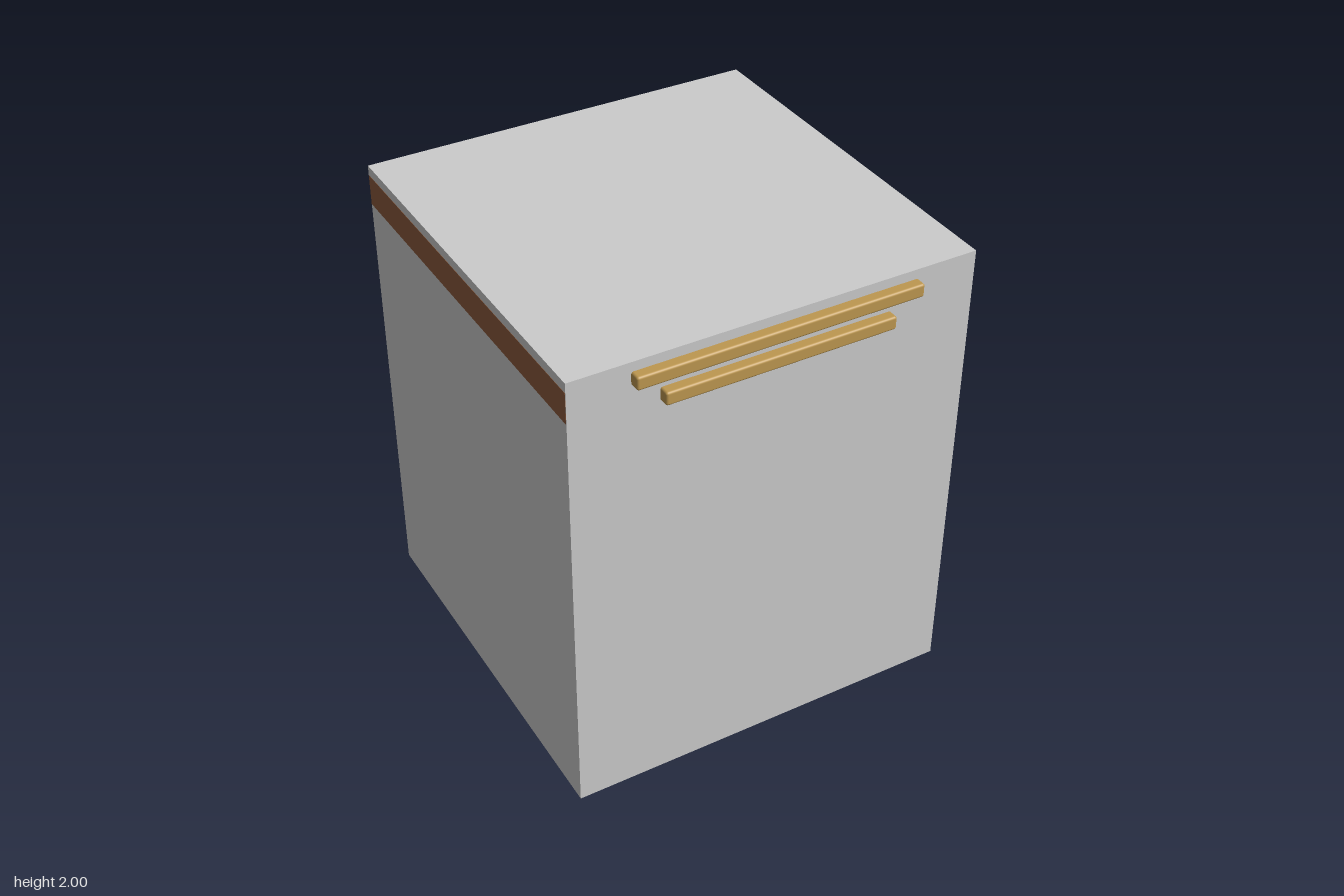
import * as THREE from 'three';
import { RoundedBoxGeometry } from 'three/addons/geometries/RoundedBoxGeometry.js';

const paint = (color) => new THREE.MeshStandardMaterial({ color });

export function createModel() {
  const model = new THREE.Group();
  const add = (name, geometry, material, x, y, z) => {
    const mesh = new THREE.Mesh(geometry, material);
    mesh.name = name;
    mesh.position.set(x, y, z);
    model.add(mesh);
    return mesh;
  };
  const grey = paint(0xcccccc);
  const brown = paint(0x8b5a3c);
  const gold = paint(0xbe9850);
  const green = paint(0x3c785f);

  const width = 1.68, height = 1.998, depth = 1.676, midZ = -0.022;

  // Main block
  add('body', new THREE.BoxGeometry(width, height, depth), grey, 0, 1.001, midZ);

  // Rim band, flush with the body and showing on its two sides
  add('rimBand', new THREE.BoxGeometry(width + 0.002, 0.13, depth - 0.004), brown, 0, 1.895, midZ);

  // Round base pad, just proud of the underside
  add('basePad', new THREE.CylinderGeometry(0.66, 0.66, 0.02, 64), green, 0, 0.01, midZ);

  // Two rounded bars across the top of the front
  const bars = [
    ['upperBar', 1.18, 1.932],
    ['lowerBar', 0.955, 1.829],
  ];
  for (const [name, length, y] of bars) {
    add(name, new RoundedBoxGeometry(length, 0.056, 0.07, 3, 0.01), gold, -0.002, y, 0.824);
  }

  return model;
}
